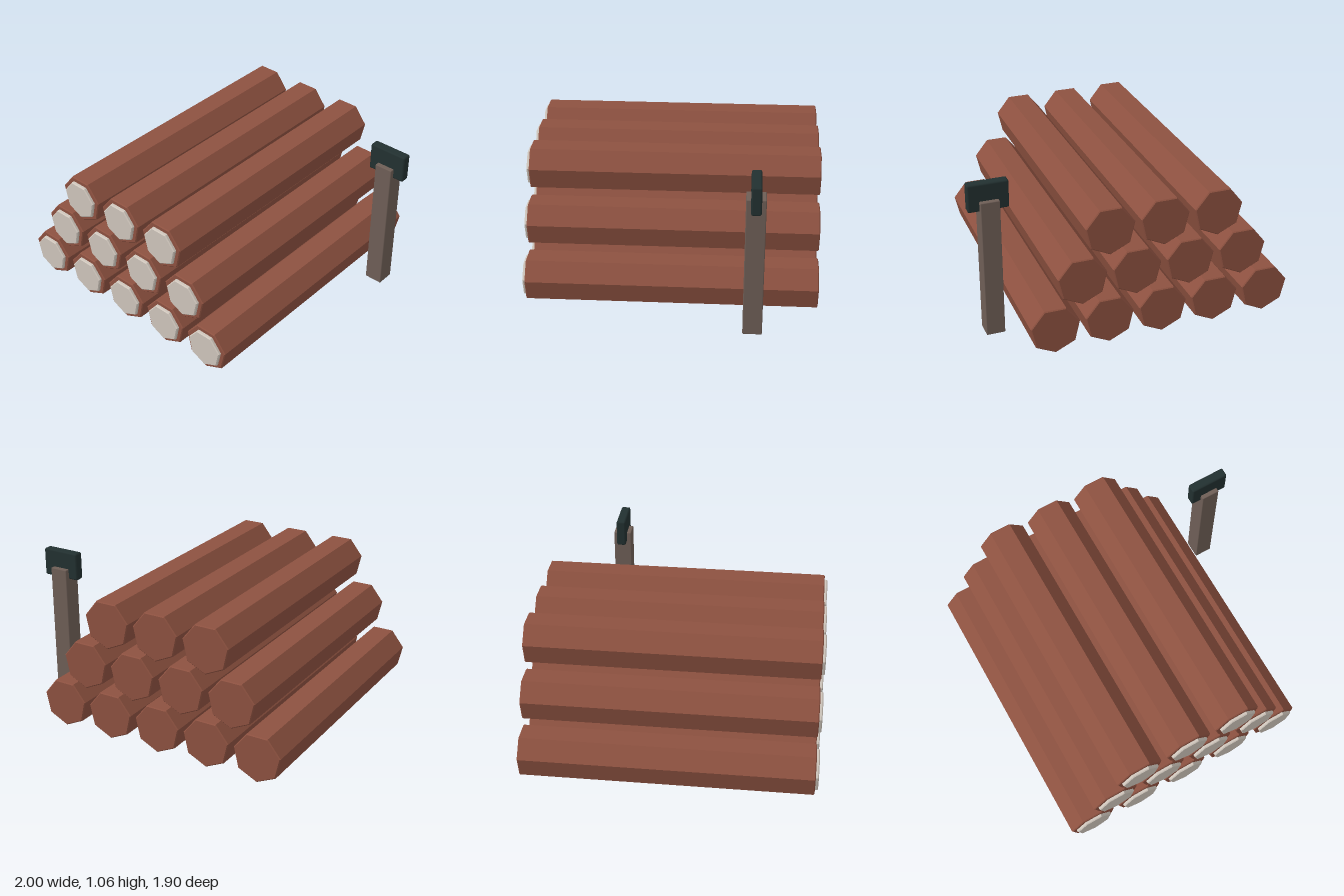
import * as THREE from 'three';
import { RoundedBoxGeometry } from 'three/addons/geometries/RoundedBoxGeometry.js';

const material = (name, color) => {
  const m = new THREE.MeshStandardMaterial({ color });
  m.name = name;
  return m;
};

// Seven-sided prism along z, one corner down, with a fine chamfer at both ends
function heptagonPrism(radius, z0, z1, bevel) {
  const inner = radius - bevel / Math.cos(Math.PI / 7);
  const points = [];
  for (let i = 0; i < 7; i++) {
    const a = -Math.PI / 2 + (i / 7) * Math.PI * 2;
    points.push(new THREE.Vector2(Math.cos(a) * inner, Math.sin(a) * inner));
  }
  const geometry = new THREE.ExtrudeGeometry(new THREE.Shape(points), {
    depth: z1 - z0 - 2 * bevel,
    bevelEnabled: true,
    bevelThickness: bevel,
    bevelSize: bevel,
    bevelSegments: 1,
  });
  return geometry.translate(0, 0, z0 + bevel);
}

export function createModel() {
  const group = new THREE.Group();
  group.name = 'woodpile';

  const bark = material('bark brown', 0x8d5140);
  const cutWood = material('pale cut wood', 0xcec5bb);
  const handleWood = material('grey brown handle', 0x6e5e56);
  const iron = material('dark iron', 0x223030);

  const add = (name, geometry, mat, parent = group) => {
    const mesh = new THREE.Mesh(geometry, mat);
    mesh.name = name;
    parent.add(mesh);
    return mesh;
  };

  // Stacked logs: rows of five, four and three
  const logGeometry = heptagonPrism(0.163, -0.95, 0.93, 0.006);
  const cutGeometry = heptagonPrism(0.131, 0.91, 0.95, 0.006);
  const spacing = 0.356;
  for (let row = 0; row < 3; row++) {
    for (let i = 0; i < 5 - row; i++) {
      const log = new THREE.Group();
      log.name = `log${row + 1}_${i + 1}`;
      log.position.set(-0.841 + (i + row / 2) * spacing, 0.181 + row * 0.3135, 0);
      add('logBark', logGeometry, bark, log);
      add('logCutEnd', cutGeometry, cutWood, log);
      group.add(log);
    }
  }

  // Upright axe beside the pile
  const axe = new THREE.Group();
  axe.name = 'axe';
  axe.position.set(0.866, 0, -0.534);
  add('axeHandle', new RoundedBoxGeometry(0.123, 0.943, 0.123, 1, 0.006), handleWood, axe)
    .position.y = 0.4715;
  add('axeHead', new RoundedBoxGeometry(0.262, 0.186, 0.064, 1, 0.012), iron, axe)
    .position.set(0.003, 0.966, 0);
  group.add(axe);

  return group;
}
